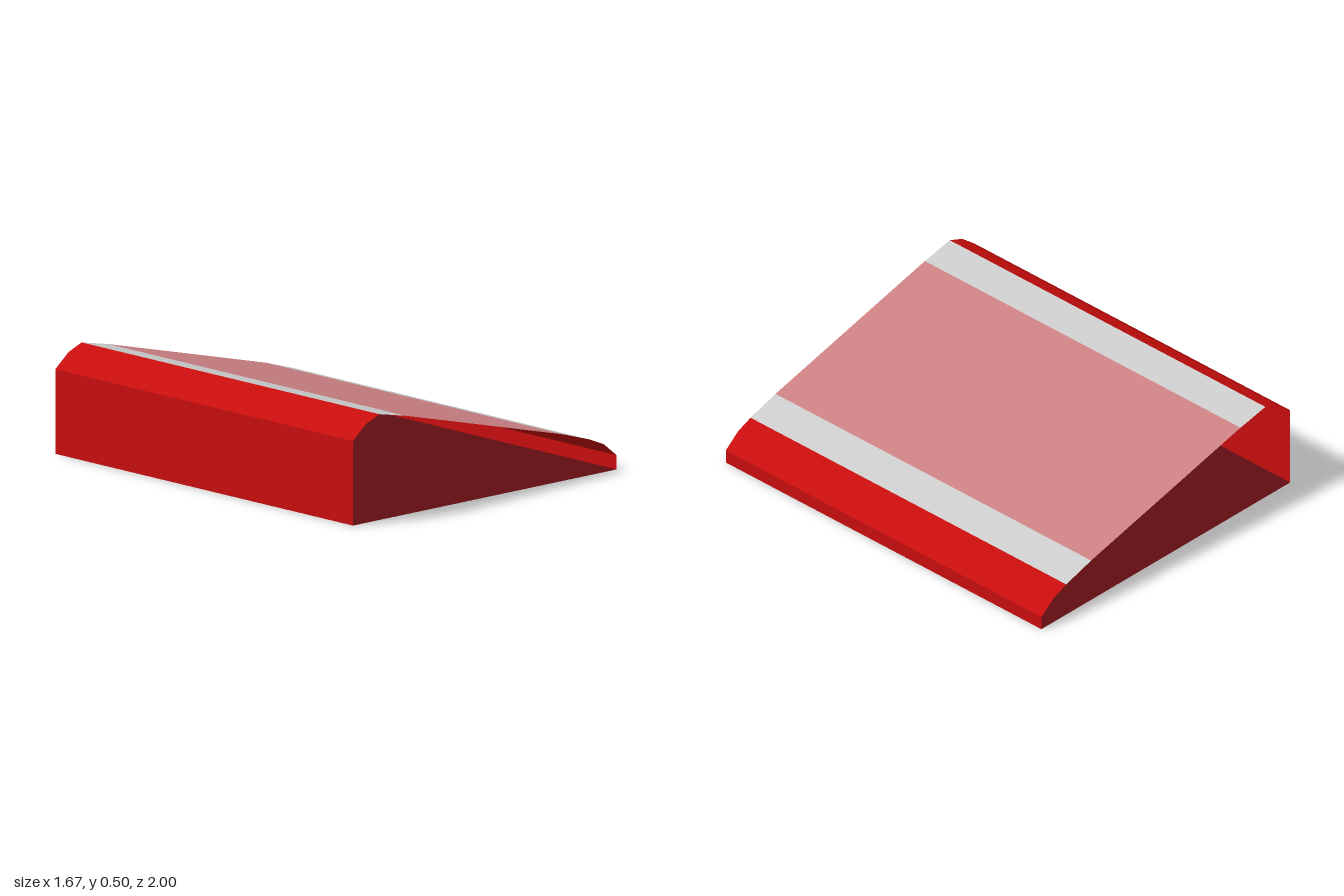
import * as THREE from 'three';

const paint = (name, color) => {
  const m = new THREE.MeshStandardMaterial({ color, side: THREE.DoubleSide });
  m.name = name;
  return m;
};

// Sweeps a cross-section path along z as flat facets, open at both ends.
function strip(points, length) {
  const h = length / 2;
  const positions = [];
  for (let i = 0; i < points.length - 1; i++) {
    const [px, py] = points[i];
    const [qx, qy] = points[i + 1];
    const a = [px, py, h], b = [px, py, -h], c = [qx, qy, -h], d = [qx, qy, h];
    positions.push(...a, ...b, ...c, ...a, ...c, ...d);
  }
  const g = new THREE.BufferGeometry();
  g.setAttribute('position', new THREE.Float32BufferAttribute(positions, 3));
  g.computeVertexNormals();
  return g;
}

export function createModel() {
  const group = new THREE.Group();
  group.name = 'slopedShell';

  const red = paint('red', 0xc80d0d);
  const grey = paint('light grey', 0xcccccc);
  const pink = paint('dusty pink', 0xcc8184);
  const darkRed = paint('dark red', 0x600d11);

  // Cross-section runs from the low side (+x) over the roof to the high side (-x).
  const parts = [
    ['lowSide', red, [[0.833, 0], [0.833, 0.067], [0.75, 0.133], [0.667, 0.167]]],
    ['lowStripe', grey, [[0.667, 0.167], [0.5, 0.218]]],
    ['roofPanel', pink, [[0.5, 0.218], [-0.5, 0.466]]],
    ['highStripe', grey, [[-0.5, 0.466], [-0.667, 0.5]]],
    ['highSide', red, [[-0.667, 0.5], [-0.75, 0.467], [-0.833, 0.4], [-0.833, 0]]],
    ['floor', darkRed, [[-0.833, 0], [0.833, 0]]],
  ];

  for (const [name, material, points] of parts) {
    const mesh = new THREE.Mesh(strip(points, 2), material);
    mesh.name = name;
    group.add(mesh);
  }
  return group;
}
